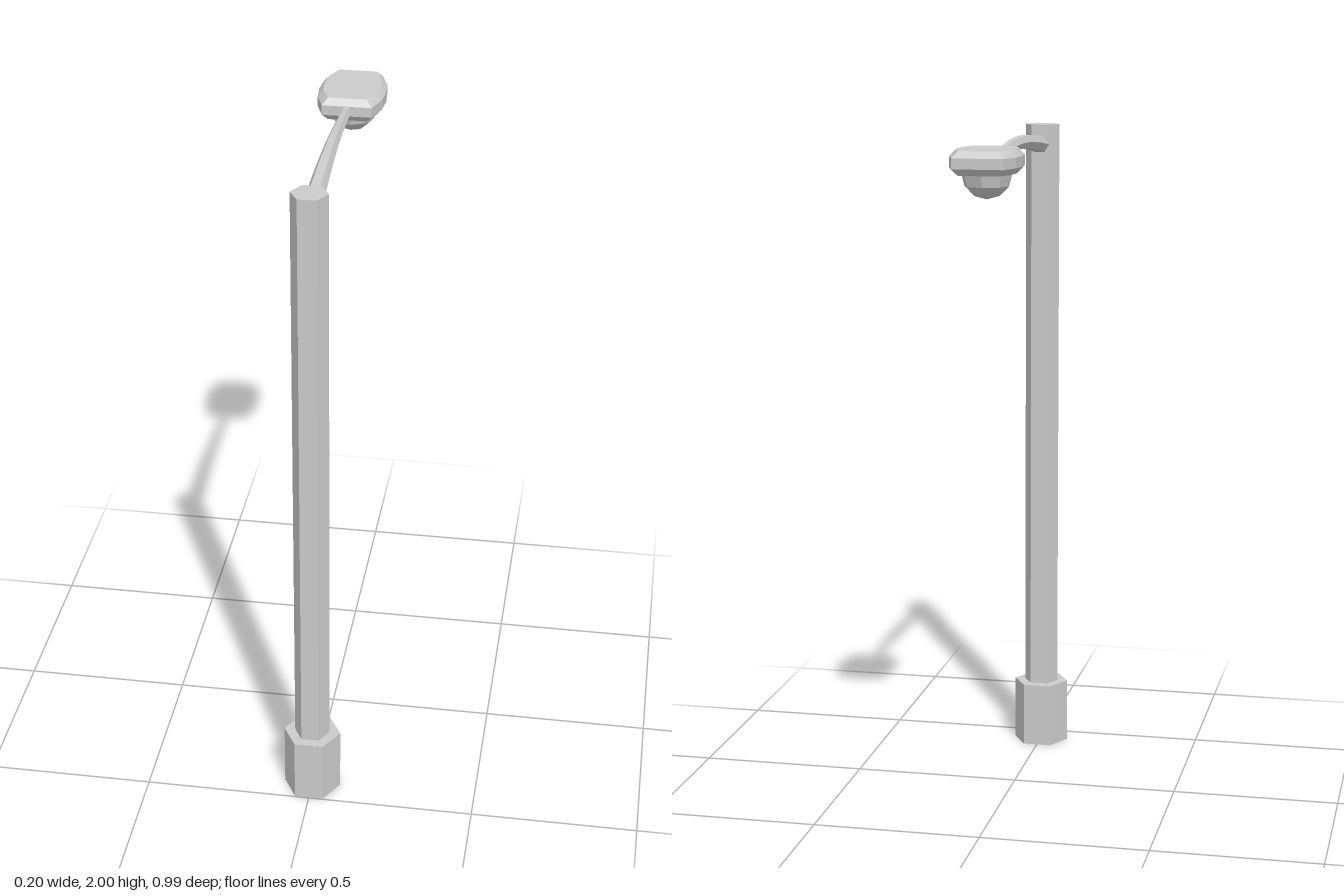
import * as THREE from 'three';

const material = new THREE.MeshStandardMaterial({ color: 0xcccccc, flatShading: true });

function add(group, name, geometry, x = 0, y = 0, z = 0) {
  const mesh = new THREE.Mesh(geometry, material);
  mesh.name = name;
  mesh.position.set(x, y, z);
  group.add(mesh);
  return mesh;
}

// Closed skin through equal-sized rings of points, with a fan cap at both ends.
// Rings run counter-clockwise when seen from the last ring back to the first.
function loft(rings) {
  const n = rings[0].length;
  const points = rings.flat();
  const index = [];
  for (let r = 0; r < rings.length - 1; r++) {
    for (let i = 0; i < n; i++) {
      const a = r * n + i, b = r * n + (i + 1) % n;
      index.push(a, b, b + n, a, b + n, a + n);
    }
  }
  const last = (rings.length - 1) * n;
  for (let i = 1; i < n - 1; i++) {
    index.push(0, i + 1, i, last, last + i, last + i + 1);
  }
  const geometry = new THREE.BufferGeometry().setFromPoints(points);
  geometry.setIndex(index);
  const flat = geometry.toNonIndexed();
  flat.computeVertexNormals();
  return flat;
}

// Upright hexagonal prism with corners on the x axis
function hexPrism(radius, height) {
  return new THREE.CylinderGeometry(radius, radius, height, 6).rotateY(Math.PI / 6);
}

// Arched, tapering hexagonal arm running towards -z
function armGeometry() {
  const path = new THREE.CatmullRomCurve3([
    new THREE.Vector3(0, 1.939, 0.39),
    new THREE.Vector3(0, 1.96, 0.2),
    new THREE.Vector3(0, 1.968, 0),
    new THREE.Vector3(0, 1.95, -0.26),
  ]);
  const rings = [];
  for (let s = 0; s <= 8; s++) {
    const t = s / 8;
    const c = path.getPoint(t);
    const radius = THREE.MathUtils.lerp(0.029, 0.014, t);
    const ring = [];
    for (let i = 0; i < 6; i++) {
      const a = -i * Math.PI / 3;
      ring.push(new THREE.Vector3(c.x + radius * Math.cos(a), c.y + radius * Math.sin(a), c.z));
    }
    rings.push(ring);
  }
  return loft(rings);
}

// Barrel-shaped lamp housing with chamfered upper and lower rims
function housingGeometry() {
  const side = [[0.073, 0.124], [0.095, 0.06], [0.1, 0], [0.095, -0.06], [0.073, -0.124]];
  const outline = [...side, ...side.map(([x, z]) => [-x, -z])];
  const levels = [[1.915, 0.016], [1.934, 0], [1.964, 0], [1.983, 0.016]];
  return loft(levels.map(([y, inset]) => outline.map(([x, z]) =>
    new THREE.Vector3(x - Math.sign(x) * inset, y, z * (1 - inset / 0.124)))));
}

export function createModel() {
  const model = new THREE.Group();
  model.name = 'streetLamp';

  // Footing and pole
  add(model, 'base', hexPrism(0.086, 0.2), 0, 0.1, 0.422);
  add(model, 'pole', hexPrism(0.053, 1.8), 0, 1.1, 0.422);

  // Arm and lamp head
  add(model, 'arm', armGeometry());
  add(model, 'lampHousing', housingGeometry(), 0, 0, -0.373);
  add(model, 'lampDome',
    new THREE.SphereGeometry(0.074, 8, 3, 0, Math.PI * 2, Math.PI / 2, Math.PI / 2),
    0, 1.916, -0.378);

  return model;
}
